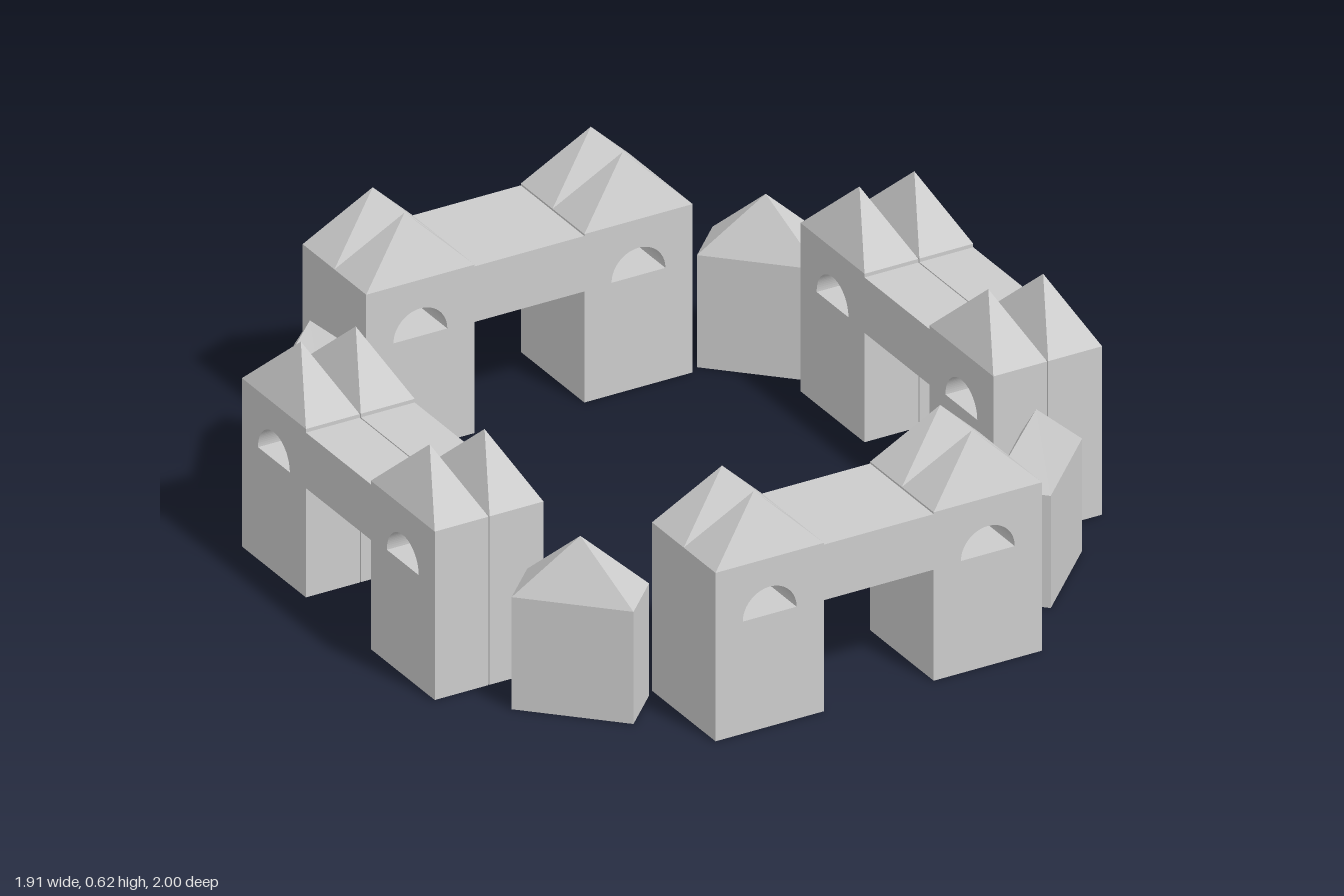
import * as THREE from 'three';

const material = new THREE.MeshStandardMaterial({ color: 0xcccccc, flatShading: true });
const W = 0.31;      // tower width
const D = 0.154;     // depth of one block
const H = 0.47;      // tower height
const SPREAD = 0.312; // tower centre from gate centre

function add(parent, name, geometry, x = 0, y = 0, z = 0) {
  const mesh = new THREE.Mesh(geometry, material);
  mesh.name = name;
  mesh.position.set(x, y, z);
  parent.add(mesh);
  return mesh;
}

// Four-sided roof standing on y = 0
function pyramid(w, h, d) {
  return new THREE.ConeGeometry(Math.SQRT1_2, 1, 4)
    .rotateY(Math.PI / 4)
    .translate(0, 0.5, 0)
    .scale(w, h, d);
}

// Upright slab with a half-round window cut through it
function towerSlab() {
  const s = new THREE.Shape();
  s.moveTo(-W / 2, 0);
  s.lineTo(W / 2, 0);
  s.lineTo(W / 2, H);
  s.lineTo(-W / 2, H);
  s.closePath();
  const window = new THREE.Path();
  window.absarc(0, 0.313, 0.077, 0, Math.PI, false);
  window.closePath();
  s.holes.push(window);
  return new THREE.ExtrudeGeometry(s, { depth: D, bevelEnabled: false, curveSegments: 20 })
    .translate(0, 0, -D / 2);
}

// Gate: two towers, each of two slabs with its own roof, joined by a lintel
function gate(name, gap, lintelTop) {
  const g = new THREE.Group();
  g.name = name;
  const slab = towerSlab();
  const roof = pyramid(W, 0.152, D);
  const span = 2 * SPREAD - W;
  const lintel = new THREE.BoxGeometry(span, 0.155, D);
  for (const zs of [-1, 1]) {
    const z = zs * (D + gap) / 2;
    for (const xs of [-1, 1]) {
      add(g, 'towerWall', slab, xs * SPREAD, 0, z);
      add(g, 'towerRoof', roof, xs * SPREAD, H, z);
    }
    add(g, 'lintel', lintel, 0, lintelTop - 0.0775, z);
  }
  return g;
}

// Small corner house with a pyramid roof
function cornerHouse() {
  const g = new THREE.Group();
  g.name = 'cornerHouse';
  add(g, 'houseWall', new THREE.BoxGeometry(W, 0.313, D), 0, 0.1565, 0);
  add(g, 'houseRoof', pyramid(W, 0.152, D), 0, 0.313, 0);
  return g;
}

export function createModel() {
  const model = new THREE.Group();
  model.name = 'castleRing';

  // Front and back gates
  for (const s of [-1, 1]) {
    const g = gate(s > 0 ? 'frontGate' : 'backGate', 0, 0.465);
    g.position.set(-0.002, 0, s * 0.846);
    model.add(g);
  }

  // Side gates, with a fine seam between their two layers
  for (const s of [-1, 1]) {
    const g = gate(s > 0 ? 'leftGate' : 'rightGate', 0.003, 0.46);
    g.rotation.y = Math.PI / 2;
    g.position.set(s * 0.799, 0, -0.005);
    model.add(g);
  }

  // Corner houses turned to face outward
  for (const xs of [-1, 1]) {
    for (const zs of [-1, 1]) {
      const h = cornerHouse();
      h.position.set(xs * 0.652, 0, zs * 0.655);
      h.rotation.y = xs * zs * Math.PI / 4;
      model.add(h);
    }
  }
  return model;
}
